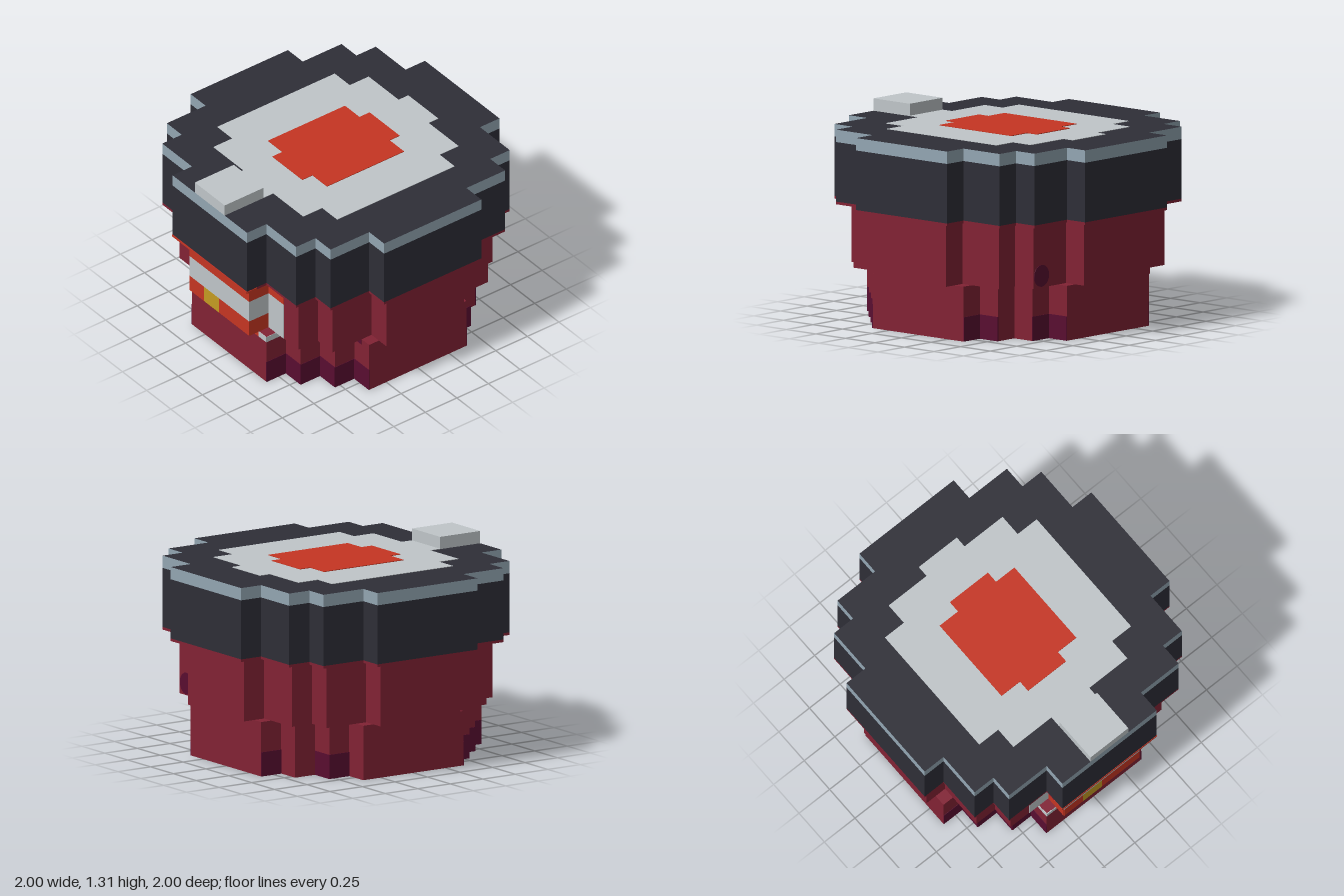
import * as THREE from 'three';

const mat = (name, color) => {
  const m = new THREE.MeshStandardMaterial({ color });
  m.name = name;
  return m;
};

export function createModel() {
  const model = new THREE.Group();
  const dark = mat('charcoal', 0x2e2e37);
  const crimson = mat('crimson', 0x822234);
  const blue = mat('blue grey', 0x93a6b2);
  const grey = mat('light grey', 0xc0c6c9);
  const red = mat('bright red', 0xc63522);
  const yellow = mat('yellow', 0xc49b22);
  const purple = mat('dark purple', 0x590d30);
  const T = 0.003;

  // Stepped round slab; corner points run through one quadrant from +x to +y.
  function slab(name, quad, y0, y1, material) {
    const back = [...quad].reverse();
    const pts = [
      ...quad,
      ...back.map(([x, y]) => [-x, y]),
      ...quad.map(([x, y]) => [-x, -y]),
      ...back.map(([x, y]) => [x, -y]),
    ].map(([x, y]) => new THREE.Vector2(x, y));
    const geo = new THREE.ExtrudeGeometry(new THREE.Shape(pts), { depth: y1 - y0, bevelEnabled: false });
    geo.rotateX(-Math.PI / 2);
    geo.translate(0, y0, 0);
    const mesh = new THREE.Mesh(geo, material);
    mesh.name = name;
    model.add(mesh);
  }

  function box(name, m, x0, x1, y0, y1, z0, z1) {
    const mesh = new THREE.Mesh(new THREE.BoxGeometry(x1 - x0, y1 - y0, z1 - z0), m);
    mesh.position.set((x0 + x1) / 2, (y0 + y1) / 2, (z0 + z1) / 2);
    mesh.name = name;
    model.add(mesh);
  }
  // Thin paint plates facing along z or x.
  const paintZ = (name, m, x0, x1, y0, y1, z) => box(name, m, x0, x1, y0, y1, z - T, z + T);
  const paintX = (name, m, x, y0, y1, z0, z1) => box(name, m, x - T, x + T, y0, y1, z0, z1);

  // Body tiers
  const baseQuad = [[0.846, 0.385], [0.692, 0.385], [0.692, 0.538], [0.538, 0.538], [0.538, 0.692], [0.385, 0.692], [0.385, 0.846]];
  const midQuad = [[0.923, 0.308], [0.769, 0.308], [0.769, 0.615], [0.615, 0.615], [0.615, 0.769], [0.308, 0.769], [0.308, 0.923]];
  const capQuad = [[1, 0.385], [0.846, 0.385], [0.846, 0.692], [0.692, 0.692], [0.692, 0.846], [0.385, 0.846], [0.385, 1]];
  slab('baseTier', baseQuad, 0, 0.35, crimson);
  slab('middleTier', midQuad, 0.35, 0.755, crimson);
  slab('capLip', capQuad, 0.755, 0.772, crimson);
  slab('capBody', capQuad, 0.772, 1.152, dark);
  slab('capRim', capQuad, 1.152, 1.231, [dark, blue]);

  // Lid inlays and front tab
  slab('lidRing', [[0.62, 0.465], [0.465, 0.465], [0.465, 0.615], [0.155, 0.615], [0.155, 0.692]], 1.229, 1.234, grey);
  slab('lidCentre', [[0.305, 0.305], [0.155, 0.305], [0.155, 0.385]], 1.232, 1.238, red);
  box('frontTab', grey, -0.154, 0.154, 1.231, 1.31, 0.692, 1);

  // Front panel: red band, grey frame, red opening with a yellow block
  paintZ('panelBand', red, -0.308, 0.308, 0.615, 0.755, 0.923);
  paintZ('panelFrame', grey, -0.308, 0.308, 0.462, 0.615, 0.923);
  paintZ('panelOpening', red, 0, 0.308, 0.35, 0.462, 0.923);
  paintZ('panelOpening', red, -0.308, -0.154, 0.35, 0.462, 0.923);
  paintZ('panelBlock', yellow, -0.154, 0, 0.35, 0.462, 0.923);
  paintZ('panelOpeningFoot', red, 0, 0.308, 0.31, 0.35, 0.846);
  paintZ('panelOpeningFoot', red, -0.308, -0.154, 0.31, 0.35, 0.846);
  paintZ('panelBlockFoot', yellow, -0.154, 0, 0.31, 0.35, 0.846);
  paintZ('panelLip', red, -0.385, 0.385, 0.755, 0.77, 1);
  box('panelLipUnderside', red, -0.385, 0.385, 0.752, 0.757, 0.923, 1);

  // Mirrored x range for a plate on side s
  const span = (s, a, b) => (s > 0 ? [a, b] : [-b, -a]);
  for (const s of [1, -1]) {
    // Sides of the front panel
    paintZ('panelBandEnd', red, ...span(s, 0.308, 0.465), 0.615, 0.755, 0.769);
    paintZ('panelFrameEnd', grey, ...span(s, 0.308, 0.465), 0.35, 0.615, 0.769);
    paintX('panelBandSide', red, s * 0.308, 0.615, 0.755, 0.769, 0.923);
    paintX('panelFrameSide', grey, s * 0.308, 0.462, 0.615, 0.769, 0.923);
    paintX('panelOpeningSide', red, s * 0.308, 0.35, 0.462, 0.769, 0.923);
    paintZ('panelFoot', grey, ...span(s, 0.308, 0.385), 0.31, 0.35, 0.846);
    paintX('panelFootSide', grey, s * 0.385, 0.31, 0.35, 0.692, 0.846);
    paintZ('panelFootEnd', grey, ...span(s, 0.385, 0.465), 0.31, 0.35, 0.692);
    paintX('panelLipSide', red, s * 0.385, 0.755, 0.77, 0.923, 1);

    // Dark patches on the base steps
    const steps = [[0.385, 0.692], [0.538, 0.538], [0.692, 0.385]];
    steps.forEach(([x, z], i) => {
      paintZ('basePatch', purple, ...span(s, x, x + 0.154), 0, 0.155, z);
      paintX('basePatch', purple, s * x, 0, 0.155, z, z + 0.154);
      if (i !== 1) paintX('basePatch', purple, s * x, 0, 0.155, -z - 0.154, -z);
      if ((s > 0) === (i !== 1)) paintZ('basePatch', purple, ...span(s, x, x + 0.154), 0, 0.155, -z);
      if (i > 0) paintZ('baseSpot', purple, ...span(s, x, x + 0.075), 0.31, 0.35, z);
    });
  }

  // Round dark spot at the back
  const spot = new THREE.Mesh(new THREE.CylinderGeometry(0.07, 0.07, 2 * T, 20), purple);
  spot.rotation.x = Math.PI / 2;
  spot.position.set(0.54, 0.425, -0.769);
  spot.name = 'backSpot';
  model.add(spot);

  return model;
}
